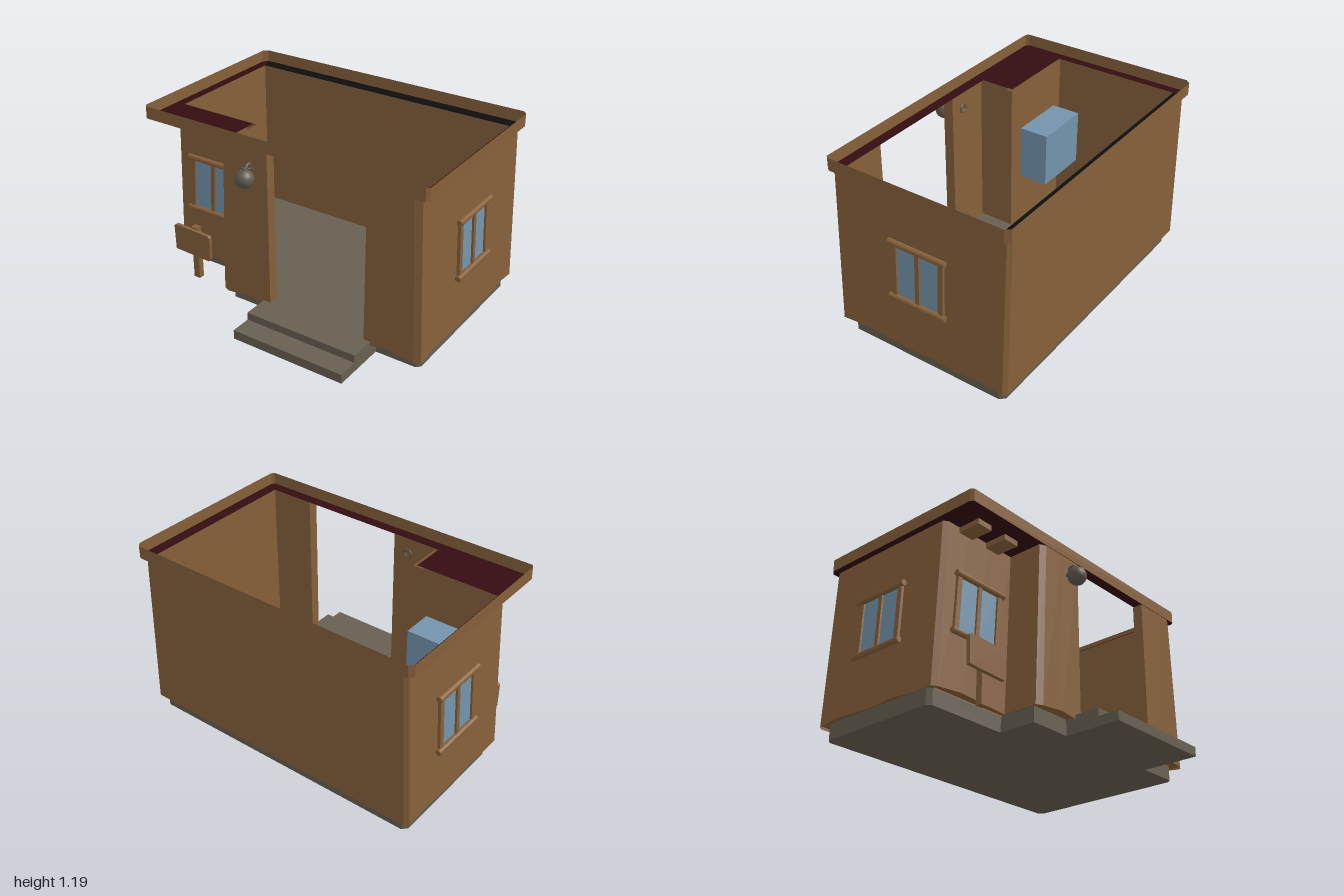
import * as THREE from 'three';

const material = (name, color, flatShading = true) => {
  const m = new THREE.MeshStandardMaterial({ color, flatShading, side: THREE.DoubleSide });
  m.name = name;
  return m;
};

export function createModel() {
  const model = new THREE.Group();
  model.name = 'adobeHut';
  const clay = material('clay', 0x86603a);
  const stone = material('stone', 0x676051);
  const glass = material('glass', 0x7394ac);
  const soffit = material('darkRed', 0x340c10);
  const black = material('black', 0x0e0d0d);
  const iron = material('iron', 0x605a4f, false);

  const add = (parent, name, geometry, mat, x = 0, y = 0, z = 0) => {
    const mesh = new THREE.Mesh(geometry, mat);
    mesh.name = name;
    mesh.position.set(x, y, z);
    parent.add(mesh);
    return mesh;
  };
  // box given by its limits
  const block = (name, mat, [x0, x1], [y0, y1], [z0, z1]) =>
    add(model, name, new THREE.BoxGeometry(x1 - x0, y1 - y0, z1 - z0), mat,
      (x0 + x1) / 2, (y0 + y1) / 2, (z0 + z1) / 2);
  // plan outline in (x, z)
  const plan = pts => new THREE.Shape(pts.map(([x, z]) => new THREE.Vector2(x, -z)));
  const flat = pts => new THREE.ShapeGeometry(plan(pts)).rotateX(-Math.PI / 2);
  const slab = (pts, depth) =>
    new THREE.ExtrudeGeometry(plan(pts), { depth, bevelEnabled: false }).rotateX(-Math.PI / 2);

  // Stone foundation and steps
  add(model, 'foundation', slab([
    [-0.39, 0.39], [0.92, 0.39], [0.945, 0.365], [0.945, -0.67], [0.915, -0.7], [-0.915, -0.7],
    [-0.945, -0.67], [-0.945, 0.12], [-0.92, 0.145], [-0.39, 0.145]], 0.11), stone);
  block('upperStep', stone, [-0.11, 0.655], [0, 0.11], [0.38, 0.62]);
  block('lowerStep', stone, [-0.11, 0.655], [0, 0.06], [0.61, 0.755]);

  // Walls: outer loop leans inward in x, inner loop is upright, doorway left open
  const TOP = 1.11;
  const outer = [
    [0.61, 0.457], [0.94, 0.457], [0.98, 0.437], [0.98, -0.715], [0.955, -0.735], [-0.955, -0.735],
    [-0.98, -0.715], [-0.98, 0.19], [-0.95, 0.21], [-0.43, 0.21], [-0.43, 0.437], [-0.39, 0.457],
    [-0.06, 0.457]];
  const inner = [
    [-0.06, 0.39], [-0.36, 0.39], [-0.36, 0.155], [-0.92, 0.155], [-0.92, -0.67], [0.905, -0.67],
    [0.905, 0.39], [0.61, 0.39]];
  const chips = [0.08, 0.098, 0.09, 0.082, 0.095, 0.08, 0.1, 0.094];
  const ring = [];
  outer.forEach(([x, z], i) => {
    const [nx, nz] = outer[i + 1] || [x, z];
    const length = Math.hypot(nx - x, nz - z);
    const back = z < -0.7 && nz < -0.7;
    const n = back ? 1 : Math.max(1, Math.round(length / 0.16));
    for (let k = 0; k < n; k++) {
      const px = x + (nx - x) * k / n, pz = z + (nz - z) * k / n;
      // lean fades out towards the doorway
      const lean = px > 0.6 ? -0.04 * Math.min(1, (px - 0.61) / 0.33)
        : pz > 0.44 ? 0.04 * Math.min(1, (-0.06 - px) / 0.33)
          : pz < -0.7 ? -0.04 * px / 0.955 : 0.04;
      ring.push([px, k ? chips[k % 8] : 0.08, pz, px + lean]);
    }
  });
  inner.forEach(([x, z]) => ring.push([x, 0.09, z, x]));
  const position = [];
  ring.forEach((a, i) => {
    const b = ring[(i + 1) % ring.length];
    const a0 = [a[0], a[1], a[2]], a1 = [a[3], TOP, a[2]];
    const b0 = [b[0], b[1], b[2]], b1 = [b[3], TOP, b[2]];
    position.push(...a0, ...b0, ...b1, ...a0, ...b1, ...a1);
  });
  const wall = new THREE.BufferGeometry();
  wall.setAttribute('position', new THREE.Float32BufferAttribute(position, 3));
  wall.computeVertexNormals();
  add(model, 'walls', wall, clay);
  add(model, 'wallUnderside', flat([...outer, ...inner]), clay, 0, 0.098, 0);

  // Roof edge: upright open band with a flat ledge inside
  const edge = [
    [0.965, 0.46], [0.98, 0.44], [0.98, -0.725], [0.955, -0.755], [-0.955, -0.755],
    [-0.98, -0.725], [-0.98, 0.44], [-0.965, 0.46]];
  const band = [];
  edge.forEach(([x, z], i) => {
    const [u, w] = edge[(i + 1) % edge.length];
    band.push(x, TOP, z, u, TOP, w, u, 1.19, w, x, TOP, z, u, 1.19, w, x, 1.19, z);
  });
  const bandGeometry = new THREE.BufferGeometry();
  bandGeometry.setAttribute('position', new THREE.Float32BufferAttribute(band, 3));
  bandGeometry.computeVertexNormals();
  add(model, 'roofBand', bandGeometry, clay);
  add(model, 'roofLedge', flat([
    [-0.965, 0.46], [0.965, 0.46], [0.98, 0.44], [0.98, -0.725], [0.955, -0.755], [0.905, -0.67],
    [0.905, 0.39], [-0.38, 0.39], [-0.38, 0.165], [-0.92, 0.165], [-0.92, -0.67], [-0.955, -0.755],
    [-0.98, -0.725], [-0.98, 0.44]]), soffit, 0, TOP + 0.003, 0);
  add(model, 'backLedge', flat([
    [-0.92, -0.67], [0.905, -0.67], [0.955, -0.755], [-0.955, -0.755]]), black, 0, TOP + 0.003, 0);

  // Beam ends under the porch roof
  for (const x of [-0.772, -0.552]) {
    block('beamEnd', clay, [x - 0.053, x + 0.053], [1.075, TOP], [0.2, 0.36]);
  }

  // Windows: log lintel and sill, posts and two panes, sheared to follow the wall
  const addWindow = (name, x, z, turn, leanSide, leanOut) => {
    const group = new THREE.Group();
    group.name = name;
    group.position.set(x, 0.617, z);
    group.rotation.y = turn;
    const shear = new THREE.Matrix4().set(1, leanSide, 0, 0, 0, 1, 0, 0, 0, leanOut, 1, 0, 0, 0, 0, 1);
    const part = (label, geometry, mat, px, py, pz) =>
      add(group, label, geometry.translate(px, py, pz).applyMatrix4(shear), mat);
    for (const [label, y] of [['lintel', 0.18], ['sill', -0.182]]) {
      part(label, new THREE.CylinderGeometry(0.0185, 0.0185, 0.39, 10).rotateZ(Math.PI / 2), clay, 0, y, 0.017);
    }
    for (const px of [-0.162, 0, 0.162]) {
      part('windowPost', new THREE.BoxGeometry(px ? 0.034 : 0.028, 0.345, 0.026), clay, px, 0, 0.006);
    }
    for (const s of [-1, 1]) {
      part('pane', new THREE.BoxGeometry(0.132, 0.335, 0.006), glass, s * 0.08, 0, 0.003);
    }
    model.add(group);
  };
  addWindow('rightWindow', 0.959, -0.145, Math.PI / 2, 0, -0.039);
  addWindow('leftWindow', -0.959, -0.27, -Math.PI / 2, 0, -0.039);
  addWindow('frontWindow', -0.67, 0.21, 0, 0.055, 0);
  block('insideGlass', glass, [-0.852, -0.468], [0.44, 0.8], [-0.04, 0.16]);

  // Signboard on a post
  const board = new THREE.Shape([
    [-0.88, 0.185], [-0.61, 0.175], [-0.6, 0.19], [-0.597, 0.345], [-0.61, 0.355], [-0.87, 0.365],
    [-0.885, 0.355]].map(p => new THREE.Vector2(...p)));
  add(model, 'signBoard', new THREE.ExtrudeGeometry(board, { depth: 0.025, bevelEnabled: false }), clay, 0, 0, 0.35);
  block('signPost', clay, [-0.763, -0.717], [0, 0.37], [0.31, 0.35]);

  // Round lantern hanging from a hook in the front wall
  const lx = -0.163;
  add(model, 'lanternBall', new THREE.SphereGeometry(0.058, 24, 16), iron, lx, 0.957, 0.535);
  add(model, 'lanternCap', new THREE.CylinderGeometry(0.014, 0.02, 0.018, 12), iron, lx, 1.015, 0.528);
  const hook = new THREE.CatmullRomCurve3([[1.015, 0.525], [1.033, 0.505], [1.03, 0.485], [0.995, 0.47], [0.985, 0.45]]
    .map(([y, z]) => new THREE.Vector3(lx, y, z)));
  add(model, 'lanternHook', new THREE.TubeGeometry(hook, 20, 0.009, 8), iron);
  add(model, 'lanternLink', new THREE.TorusGeometry(0.018, 0.006, 8, 16), iron, lx, 1.02, 0.49).rotation.y = Math.PI / 2;
  add(model, 'insideRing', new THREE.TorusGeometry(0.026, 0.006, 8, 16), iron, lx, 1.01, 0.388);

  return model;
}
